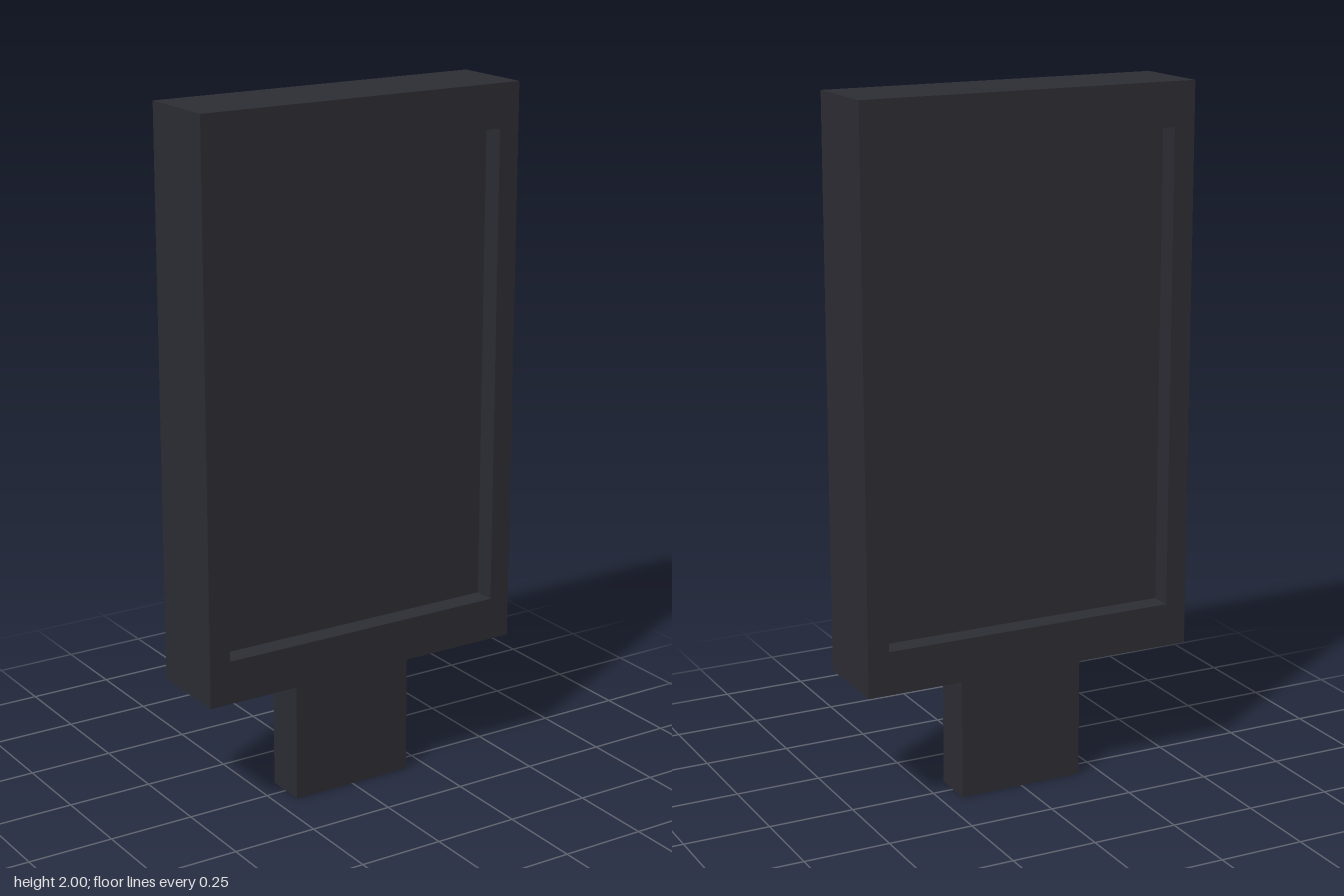
import * as THREE from 'three';

export function createModel() {
  const model = new THREE.Group();
  model.name = 'displaySign';
  const charcoal = new THREE.MeshStandardMaterial({ color: 0x2d2d35 });
  charcoal.name = 'charcoal';

  const add = (name, geometry, y, z = 0) => {
    const mesh = new THREE.Mesh(geometry, charcoal);
    mesh.name = name;
    mesh.position.set(0, y, z);
    model.add(mesh);
  };

  const rectangle = (Type, halfWidth, bottom, top) => new Type([
    new THREE.Vector2(-halfWidth, bottom),
    new THREE.Vector2(halfWidth, bottom),
    new THREE.Vector2(halfWidth, top),
    new THREE.Vector2(-halfWidth, top),
  ]);

  // Deep frame with a rectangular opening through it
  const depth = 0.25;
  const outline = rectangle(THREE.Shape, 0.5, 0.375, 2);
  outline.holes.push(rectangle(THREE.Path, 0.4375, 0.5, 1.875));
  add('frame', new THREE.ExtrudeGeometry(outline, { depth, bevelEnabled: false }), 0, -depth / 2);

  // Panel recessed equally on the front and back
  add('panel', new THREE.BoxGeometry(0.875, 1.375, 0.125), 1.1875);

  // Short flat post under the frame
  add('post', new THREE.BoxGeometry(0.375, 0.375, 0.125), 0.1875);

  return model;
}
